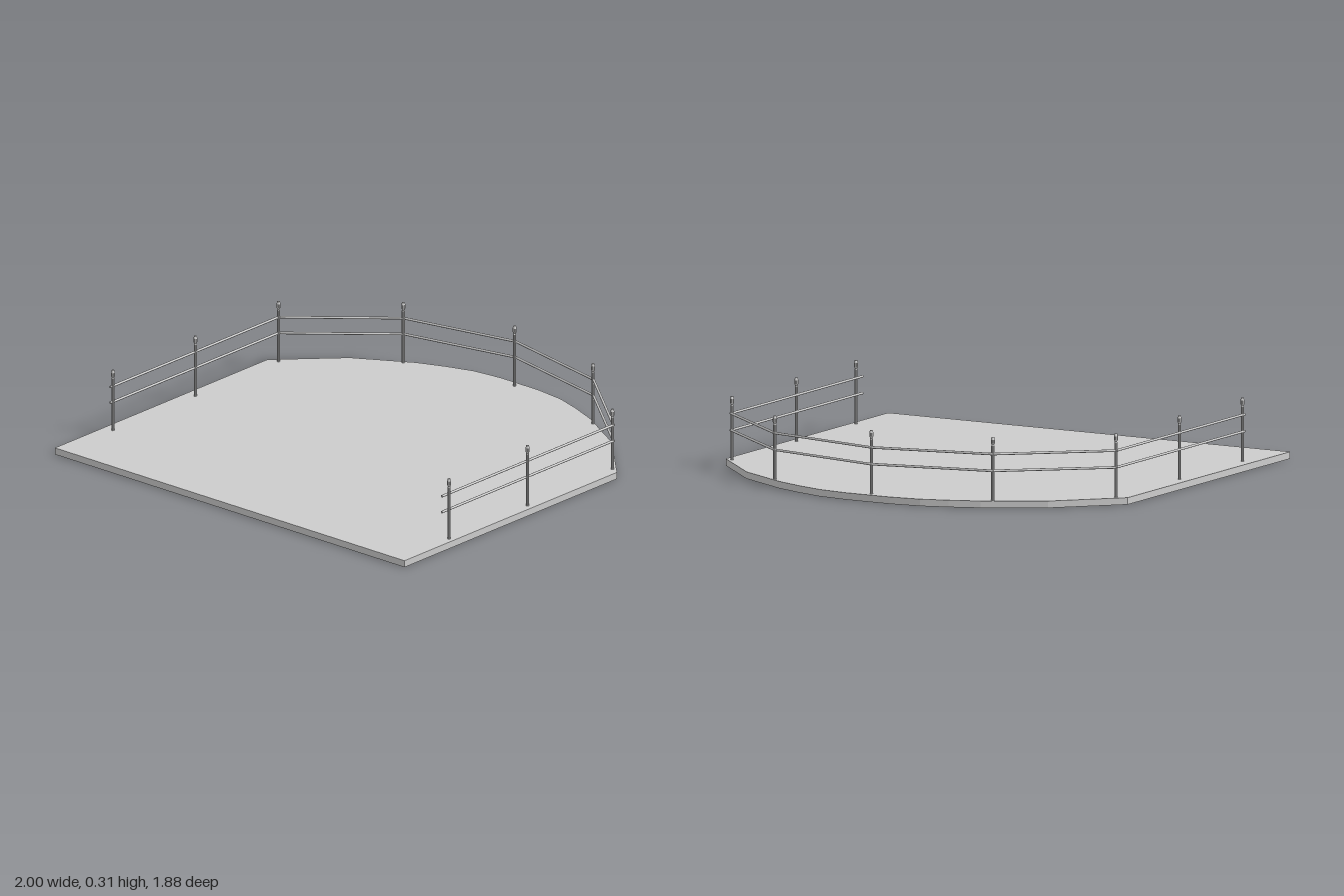
import * as THREE from 'three';

const DECK = 0.03;

export function createModel() {
  const model = new THREE.Group();
  const mat = new THREE.MeshStandardMaterial({ color: 0xcccccc, flatShading: true });
  const smooth = new THREE.MeshStandardMaterial({ color: 0xcccccc });

  const add = (parent, geometry, material, name) => {
    const mesh = new THREE.Mesh(geometry, material);
    mesh.name = name;
    parent.add(mesh);
    return mesh;
  };

  // Deck: straight front and sides, faceted curved back (x, -z)
  const half = [[1, -0.94], [1, 0.44], [0.75, 0.69], [0.5, 0.835], [0.37, 0.887], [0.25, 0.925], [0.11, 0.942]];
  const outline = [...half, ...half.map(([x, y]) => [-x, y]).reverse()];
  const shape = new THREE.Shape(outline.map(([x, y]) => new THREE.Vector2(x, y)));
  const deck = new THREE.ExtrudeGeometry(shape, { depth: DECK, bevelEnabled: false });
  deck.rotateX(-Math.PI / 2);
  add(model, deck, mat, 'deck');

  // Posts with a small finial, one lathe profile
  const profile = [
    [0, 0], [0.007, 0], [0.007, 0.238], [0.005, 0.242], [0.009, 0.25],
    [0.009, 0.266], [0.006, 0.277], [0, 0.278],
  ].map(([r, y]) => new THREE.Vector2(r, y));
  const postGeometry = new THREE.LatheGeometry(profile, 10);
  const posts = [
    [-0.95, 0.62], [-0.95, 0.085], [-0.95, -0.455], [-0.54, -0.8], [0, -0.91],
    [0.545, -0.8], [0.96, -0.455], [0.968, 0.105], [0.973, 0.62],
  ];
  const postGroup = new THREE.Group();
  postGroup.name = 'posts';
  for (const [x, z] of posts) add(postGroup, postGeometry, mat, 'post').position.set(x, DECK, z);
  model.add(postGroup);

  // Two levels of straight rails running from corner to corner
  const corners = [
    [-0.952, 0.63], [-0.952, -0.457], [-0.54, -0.803], [0, -0.916],
    [0.545, -0.803], [0.962, -0.459], [0.962, 0.65],
  ];
  const railGroup = new THREE.Group();
  railGroup.name = 'rails';
  const up = new THREE.Vector3(0, 1, 0);
  for (const y of [0.16, 0.233]) {
    for (let i = 0; i < corners.length - 1; i++) {
      const a = new THREE.Vector3(corners[i][0], y, corners[i][1]);
      const b = new THREE.Vector3(corners[i + 1][0], y, corners[i + 1][1]);
      const direction = b.clone().sub(a);
      const length = direction.length() + 0.01;
      const rail = add(railGroup, new THREE.CylinderGeometry(0.0055, 0.0055, length, 10), smooth, 'rail');
      rail.position.copy(a).add(b).multiplyScalar(0.5);
      rail.quaternion.setFromUnitVectors(up, direction.normalize());
    }
  }
  model.add(railGroup);

  return model;
}
